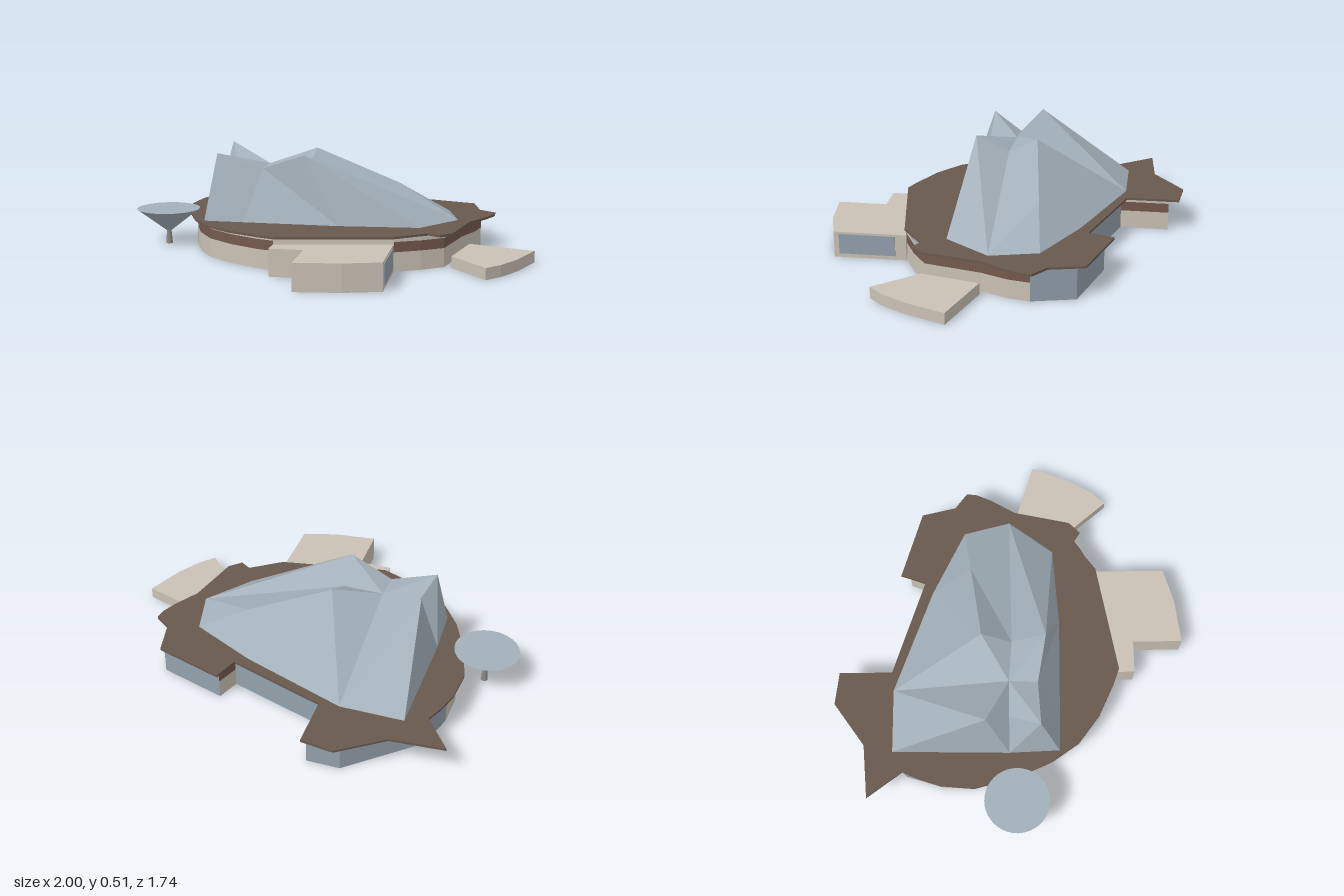
import * as THREE from 'three';

const flat = (hex, name) => {
  const m = new THREE.MeshStandardMaterial({ color: hex, side: THREE.DoubleSide, flatShading: true });
  m.name = name;
  return m;
};

export function createModel() {
  const model = new THREE.Group();
  const cream = flat(0xc9c1b4, 'cream stone');
  const roofBrown = flat(0x69594e, 'roof brown');
  const bandBrown = flat(0x74594d, 'band brown');
  const glass = flat(0x93a0ac, 'glass');
  const metal = flat(0xa3b0ba, 'pale metal');
  const grey = flat(0x8a8782, 'stem grey');

  const add = (geo, mat, name, parent = model) => {
    const mesh = new THREE.Mesh(geo, mat);
    mesh.name = name;
    parent.add(mesh);
    return mesh;
  };

  const triangles = (tris) => {
    const geo = new THREE.BufferGeometry();
    geo.setAttribute('position', new THREE.Float32BufferAttribute(tris.flat(2), 3));
    geo.computeVertexNormals();
    return geo;
  };

  // Upright ribbon following a plan path of [x, z] points
  const ribbon = (path, y0, y1) => {
    const tris = [];
    for (let i = 0; i + 1 < path.length; i++) {
      const [ax, az] = path[i], [bx, bz] = path[i + 1];
      const a = [ax, y0, az], b = [bx, y0, bz], c = [bx, y1, bz], d = [ax, y1, az];
      tris.push([a, b, c], [a, c, d]);
    }
    return triangles(tris);
  };

  const planShape = (path) => new THREE.Shape(path.map(([x, z]) => new THREE.Vector2(x, -z)));

  // Hollow block: sides and a lid, open underneath
  const block = (path, height, name) => {
    const group = new THREE.Group();
    group.name = name;
    add(ribbon([...path, path[0]], 0, height), cream, name + 'Sides', group);
    const lid = new THREE.ShapeGeometry(planShape(path)).rotateX(-Math.PI / 2).translate(0, height, 0);
    add(lid, cream, name + 'Top', group);
    model.add(group);
  };

  // Stone walls with a brown band below the roof
  const stoneRuns = {
    frontLeftCurve: [[-0.735, -0.34], [-0.745, -0.18], [-0.69, 0.02], [-0.635, 0.16], [-0.55, 0.29],
      [-0.42, 0.395], [-0.27, 0.475], [-0.19, 0.5]],
    frontRightCurve: [[0.36, 0.43], [0.48, 0.37], [0.58, 0.3], [0.645, 0.03], [0.7, -0.1], [0.72, -0.205]],
    wingSide: [[-0.2, -0.8], [-0.2, -0.56]],
    bayReturn: [[0.3, -0.4], [0.34, -0.51]],
  };
  for (const [name, path] of Object.entries(stoneRuns)) {
    add(ribbon(path, 0, 0.092), cream, name + 'Wall');
    add(ribbon(path, 0.092, 0.14), bandBrown, name + 'Band');
    add(ribbon(path, 0.14, 0.156), cream, name + 'Fascia');
  }
  add(ribbon([[-0.19, 0.5], [0.36, 0.43]], 0, 0.156), cream, 'frontWall');

  // Full-height glazed walls at the back
  const glassRuns = {
    wingGlazing: [[-0.735, -0.34], [-0.68, -0.52], [-0.36, -0.8], [-0.2, -0.8]],
    backGlazing: [[-0.2, -0.56], [0.3, -0.4]],
    bayGlazing: [[0.34, -0.51], [0.67, -0.41], [0.72, -0.205]],
  };
  for (const [name, path] of Object.entries(glassRuns)) add(ribbon(path, 0, 0.156), glass, name);

  // Overhanging roof slab
  const roofPlan = [[-0.82, -0.7], [-0.56, -0.72], [-0.35, -0.87], [-0.19, -0.85], [-0.19, -0.59],
    [0.29, -0.43], [0.33, -0.555], [0.67, -0.45], [0.71, -0.28], [0.79, -0.22], [0.785, -0.17],
    [0.75, -0.09], [0.68, 0.03], [0.62, 0.31], [0.565, 0.365], [0.51, 0.33], [0.36, 0.44],
    [-0.18, 0.54], [-0.26, 0.51], [-0.42, 0.435], [-0.56, 0.33], [-0.65, 0.2], [-0.72, 0.04],
    [-0.78, -0.18], [-0.765, -0.345], [-0.73, -0.45], [-0.695, -0.53]];
  const slab = new THREE.ExtrudeGeometry(planShape(roofPlan), { depth: 0.011, bevelEnabled: false });
  add(slab.rotateX(-Math.PI / 2).translate(0, 0.155, 0), roofBrown, 'roofSlab');

  // Front annex and side platform
  block([[-0.185, 0.535], [-0.185, 0.62], [-0.025, 0.62], [-0.025, 0.865], [0.19, 0.84], [0.36, 0.79],
    [0.36, 0.435]], 0.13, 'frontAnnex');
  block([[0.68, 0.03], [0.995, 0.13], [0.92, 0.32], [0.85, 0.44], [0.785, 0.51], [0.615, 0.31]], 0.056, 'sidePlatform');

  // Thin window plates
  add(new THREE.BoxGeometry(0.008, 0.1, 0.275), glass, 'annexWindow').position.set(0.36, 0.07, 0.627);
  const smallWindow = add(new THREE.BoxGeometry(0.008, 0.05, 0.13), glass, 'smallWindow');
  smallWindow.position.set(-0.712, 0.027, -0.06);
  smallWindow.rotation.y = Math.atan2(0.055, 0.2);

  // Faceted peaked roof: named corners [x, y, z]
  const b = 0.166;
  const p = {
    backLeft: [-0.595, b, -0.58], back: [-0.285, b, -0.58], backMid: [0.235, b, -0.39],
    rightBack: [0.56, b, -0.23], right: [0.62, b, 0], frontRight: [0.455, b, 0.22],
    frontMid: [0.07, b, 0.247], front: [-0.4, b, 0.24], frontLeft: [-0.595, b, 0.235], left: [-0.605, b, -0.01],
    peakA: [-0.535, 0.51, -0.12], peakB: [-0.55, 0.485, 0.138], peakC: [-0.11, 0.49, 0.168],
    peakD: [-0.105, 0.485, -0.14], hub: [-0.32, 0.42, -0.01], dip: [-0.325, 0.415, 0.128],
    valleyLeft: [-0.49, 0.4, -0.01], valleyRight: [-0.12, 0.41, 0.005], ridge: [0.305, 0.31, -0.195],
  };
  const facets = [
    'peakA backLeft back', 'peakA back hub', 'hub back peakD', 'peakD back backMid', 'peakD backMid ridge',
    'ridge backMid rightBack', 'ridge rightBack right', 'peakD ridge valleyRight', 'valleyRight ridge right',
    'valleyRight right peakC', 'peakC right frontRight', 'peakC frontRight frontMid', 'peakC frontMid dip',
    'dip frontMid front', 'dip front peakB', 'peakB front frontLeft', 'peakB frontLeft left',
    'peakB left valleyLeft', 'valleyLeft left peakA', 'peakA left backLeft', 'hub peakD valleyRight',
    'hub valleyRight peakC', 'hub peakC dip', 'hub dip peakB', 'hub peakB valleyLeft', 'hub valleyLeft peakA',
  ];
  const upward = (t) => {
    const [u, v, w] = t;
    const ny = (v[2] - u[2]) * (w[0] - u[0]) - (v[0] - u[0]) * (w[2] - u[2]);
    return ny < 0 ? [u, w, v] : t;
  };
  add(triangles(facets.map((f) => upward(f.split(' ').map((k) => p[k])))), metal, 'peakedRoof');

  // Conical dish on a flared stem
  const dish = new THREE.Group();
  dish.name = 'dish';
  add(new THREE.CylinderGeometry(0.158, 0.014, 0.112, 40), metal, 'dishCone', dish).position.y = 0.124;
  add(new THREE.CylinderGeometry(0.011, 0.017, 0.072, 16), grey, 'dishStem', dish).position.y = 0.036;
  dish.position.set(-0.842, 0, 0.025);
  model.add(dish);

  return model;
}
